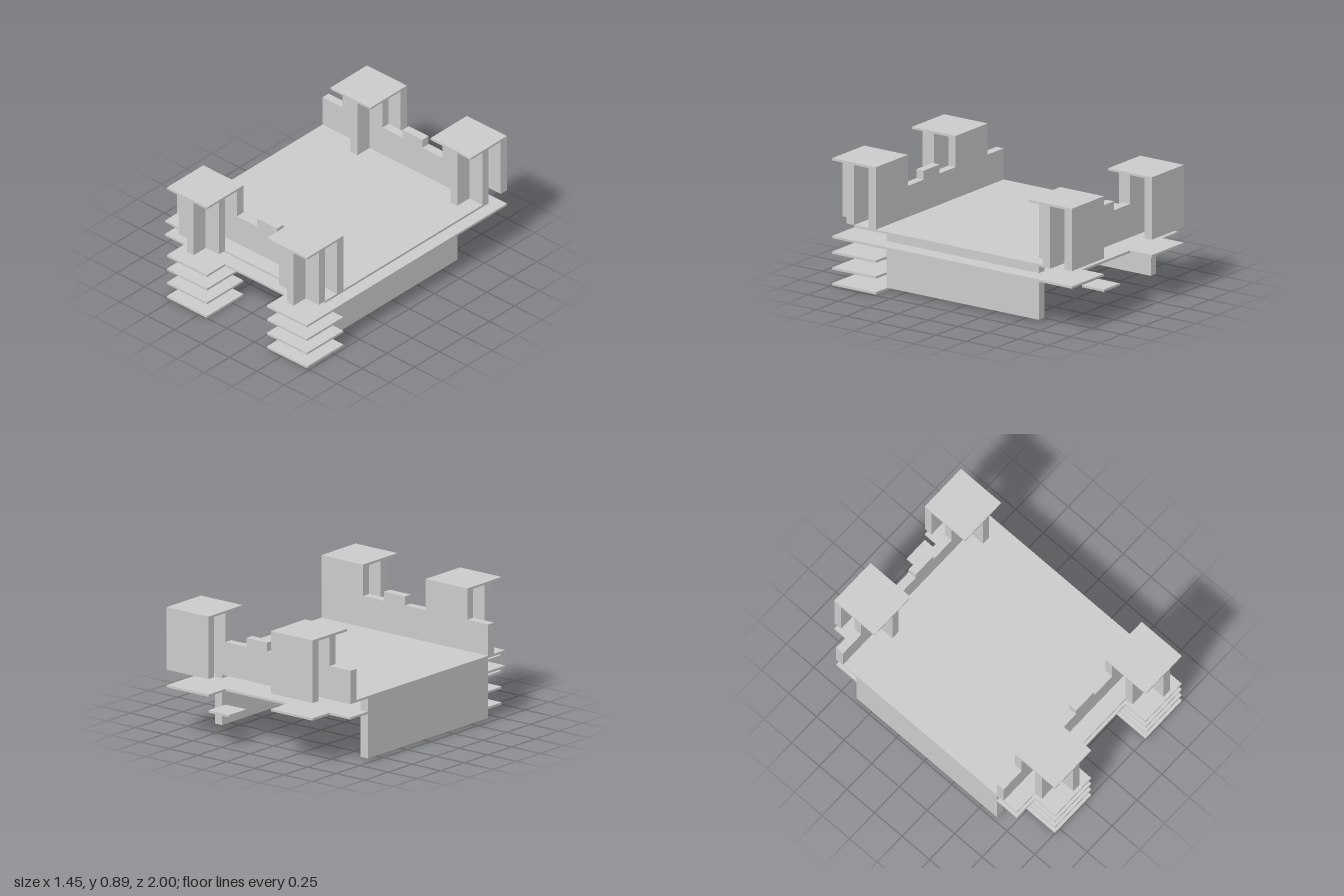
import * as THREE from 'three';

const material = new THREE.MeshStandardMaterial({ color: 0xcccccc, flatShading: true });
const U = 2 / 11;        // grid module: the plan is 8 x 11 modules
const WALL = 0.062;      // wall thickness
const PLATE = 0.016;     // plate thickness
const DECK = 0.456;      // walking surface
const CAP = 0.878;       // underside of tower roofs

// Box given by its limits along each axis
function box(parent, name, [x0, x1], [y0, y1], [z0, z1]) {
  const mesh = new THREE.Mesh(new THREE.BoxGeometry(x1 - x0, y1 - y0, z1 - z0), material);
  mesh.name = name;
  mesh.position.set((x0 + x1) / 2, (y0 + y1) / 2, (z0 + z1) / 2);
  parent.add(mesh);
  return mesh;
}

function extrude(points, depth) {
  const shape = new THREE.Shape(points.map(([x, y]) => new THREE.Vector2(x, y)));
  return new THREE.ExtrudeGeometry(shape, { depth, bevelEnabled: false });
}

// Tower on a 2 x 2 module plan: rear wall, T-shaped front pier and flat roof
function tower(name, x, z) {
  const g = new THREE.Group();
  g.name = name;
  g.position.set(x, 0, z);
  const h = [DECK, CAP];
  box(g, 'towerRearWall', [0, 2 * U], h, [0, WALL]);
  box(g, 'towerCrossWall', [0, 2 * U], h, [U, U + WALL]);
  box(g, 'towerPier', [U, U + WALL], h, [U + WALL, 2 * U]);
  box(g, 'towerRoof', [0, 2 * U], [CAP, 0.894], [0, 2 * U]);
  return g;
}

// Parapet with one raised merlon, plus the short end piece beyond the tower
function parapet(name, z) {
  const g = new THREE.Group();
  g.name = name;
  g.position.z = z;
  const low = 0.675, high = 0.738;
  const wall = new THREE.Mesh(extrude([
    [-U, DECK], [2 * U, DECK], [2 * U, low], [U, low],
    [U, high], [0, high], [0, low], [-U, low],
  ], WALL), material);
  wall.name = 'crenellatedWall';
  g.add(wall);
  box(g, 'endWall', [-4 * U, -3 * U], [DECK, low], [0, WALL]);
  return g;
}

export function createModel() {
  const model = new THREE.Group();
  model.name = 'fortifiedPlatform';

  // Upper deck
  box(model, 'upperDeck', [-4 * U, 4 * U], [DECK - PLATE, DECK], [-4.5 * U, 4.5 * U]);

  // Lower floor, with tabs projecting below each tower
  const edge = [[-4, 4.5], [-3, 4.5], [-3, 5.5], [-1, 5.5], [-1, 4.5], [2, 4.5], [2, 5.5], [4, 5.5]];
  const outline = [...edge, ...edge.map(([x, z]) => [x, -z]).reverse()];
  const floor = new THREE.Mesh(extrude(outline.map(([x, z]) => [x * U, -z * U]), PLATE), material);
  floor.name = 'lowerFloor';
  floor.rotation.x = -Math.PI / 2;
  floor.position.y = 0.332;
  model.add(floor);

  // Long supporting walls
  for (const [name, x] of [['rightSupportWall', -4 * U], ['leftSupportWall', 3 * U]]) {
    box(model, name, [x, x + WALL], [0.02, DECK - PLATE], [-3.5 * U, 3.5 * U]);
  }

  // Towers, front and back
  for (const [side, x] of [['Right', -3 * U], ['Left', 2 * U]]) {
    model.add(tower(`front${side}Tower`, x, 3.5 * U));
    model.add(tower(`back${side}Tower`, x, -5.5 * U));

    // Stacked plates below the front towers
    for (let i = 0; i < 3; i++) {
      const y = i * 0.111;
      box(model, `front${side}StackPlate`, [x, x + 2 * U], [y, y + PLATE], [3.5 * U, 5.5 * U]);
    }
  }

  // Parapets between the towers
  model.add(parapet('frontParapet', 3.5 * U));
  model.add(parapet('backParapet', -4.5 * U));

  // Small loose plate below the back edge
  box(model, 'backSmallPlate', [U, 2 * U], [0.222, 0.238], [-5.5 * U, -4.5 * U]);

  return model;
}
